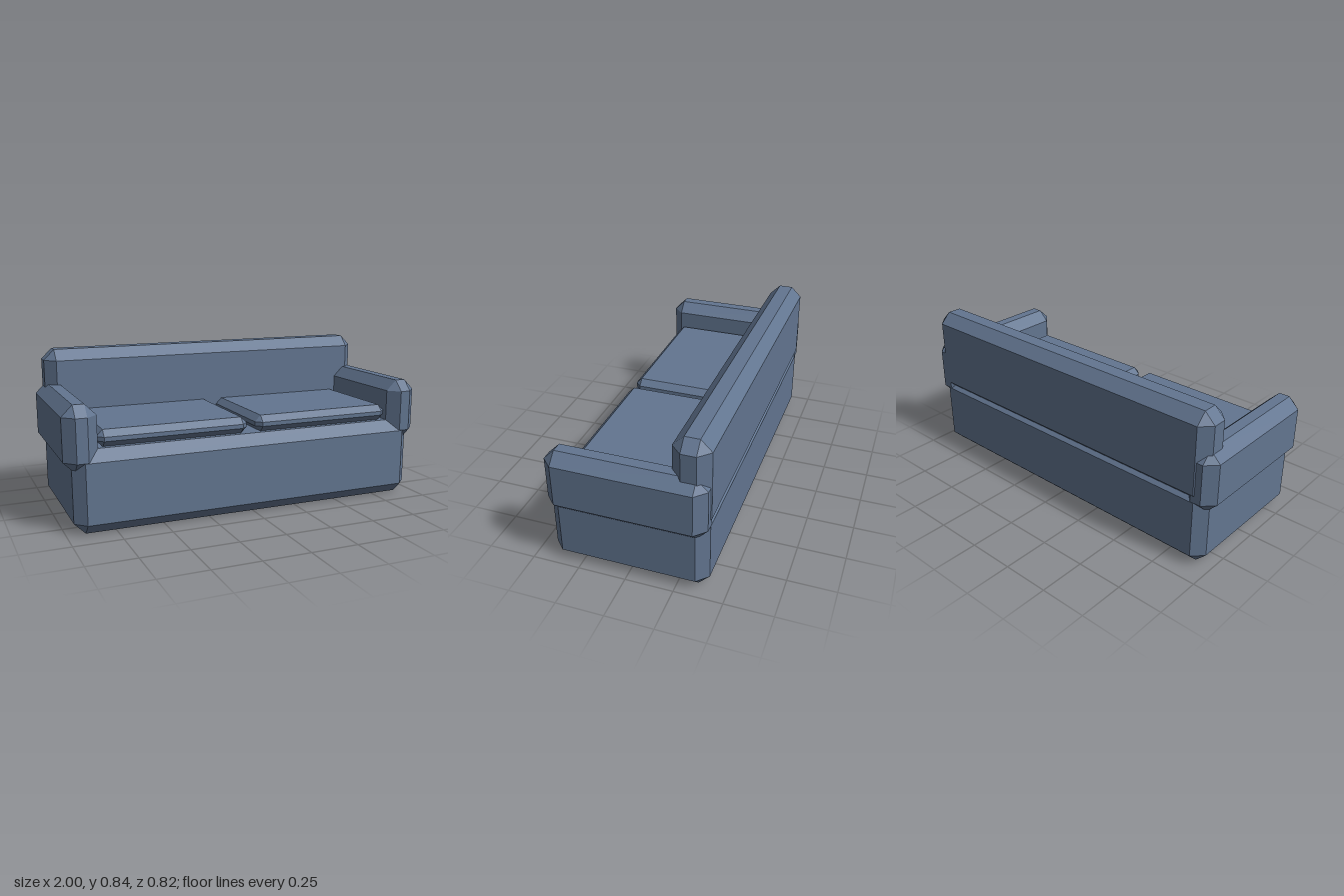
import * as THREE from 'three';
import { ConvexGeometry } from 'three/addons/geometries/ConvexGeometry.js';

// Box between two corners with every edge cut at 45 degrees by c
function chamferBox([x0, y0, z0], [x1, y1, z1], c) {
  const half = [(x1 - x0) / 2, (y1 - y0) / 2, (z1 - z0) / 2];
  const points = [];
  for (const sx of [-1, 1]) for (const sy of [-1, 1]) for (const sz of [-1, 1]) {
    const sign = [sx, sy, sz];
    // one point per face meeting at this corner
    for (let face = 0; face < 3; face++) {
      const p = half.map((h, axis) => sign[axis] * (axis === face ? h : h - c));
      points.push(new THREE.Vector3(...p));
    }
  }
  const geometry = new ConvexGeometry(points);
  geometry.translate((x0 + x1) / 2, (y0 + y1) / 2, (z0 + z1) / 2);
  return geometry;
}

export function createModel() {
  const sofa = new THREE.Group();
  sofa.name = 'sofa';
  const fabric = new THREE.MeshStandardMaterial({ color: 0x627590, flatShading: true });
  fabric.name = 'blue grey fabric';

  const add = (name, min, max, c) => {
    const mesh = new THREE.Mesh(chamferBox(min, max, c), fabric);
    mesh.name = name;
    sofa.add(mesh);
  };

  const bevel = 0.057;
  add('base', [-0.96, 0, -0.405], [0.96, 0.425, 0.41], bevel);
  add('backrest', [-0.96, 0.354, -0.41], [0.96, 0.837, -0.22], bevel);

  // Armrests and seat cushions, one per side
  for (const [side, s] of [['left', 1], ['right', -1]]) {
    const span = (a, b) => [Math.min(s * a, s * b), Math.max(s * a, s * b)];
    const [a0, a1] = span(0.828, 1);
    add(side + 'Armrest', [a0, 0.313, -0.405], [a1, 0.649, 0.41], bevel);
    const [c0, c1] = span(0.024, 0.828);
    add(side + 'Cushion', [c0, 0.422, -0.25], [c1, 0.51, 0.355], 0.033);
  }
  return sofa;
}
